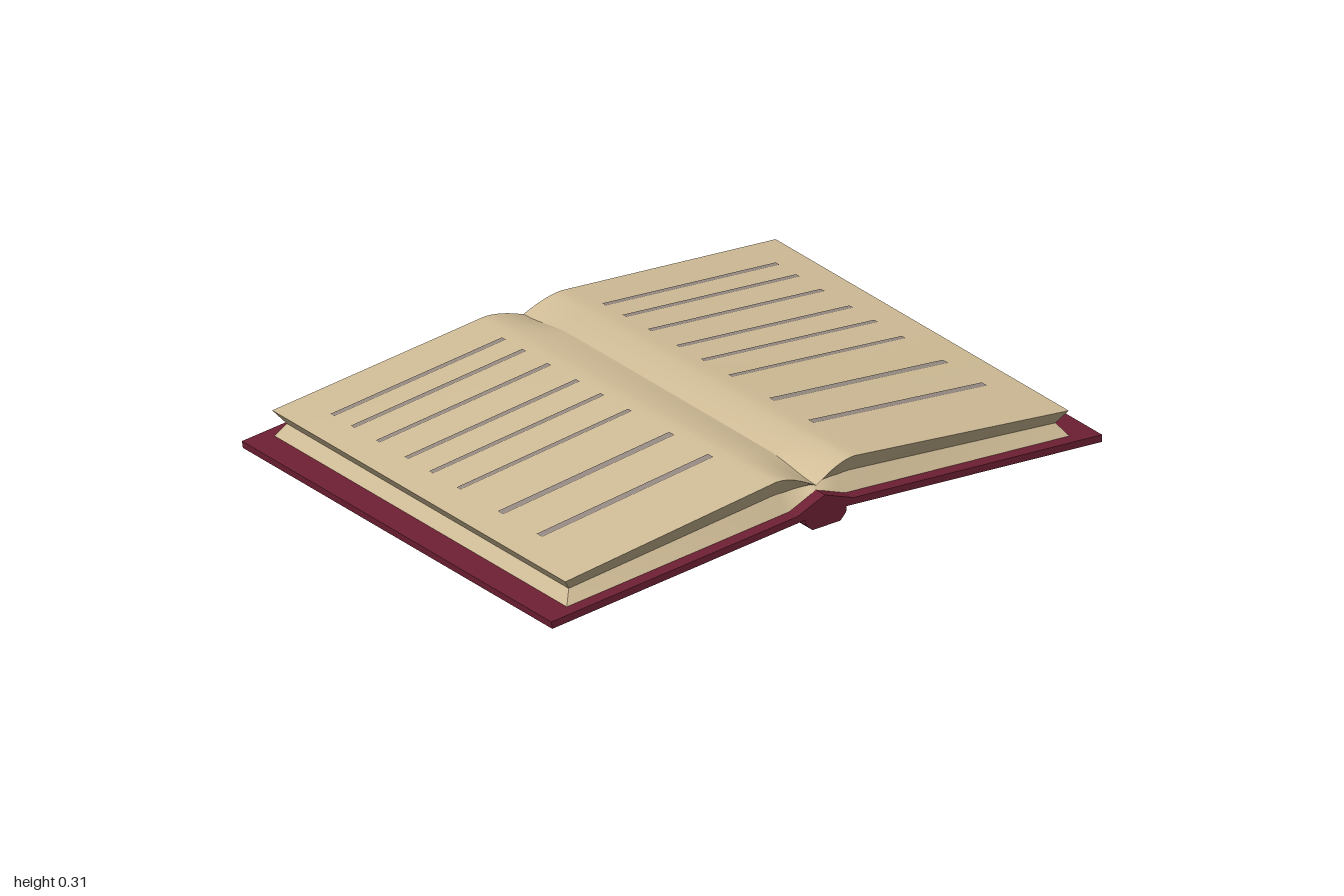
import * as THREE from 'three';
import { mergeGeometries } from 'three/addons/utils/BufferGeometryUtils.js';

const PAGE_X = 0.905, PAGE_Z = 0.772, COVER_X = 0.99, COVER_Z = 0.815;
const lerp = THREE.MathUtils.lerp;

// Stations across a page (gutter to fore-edge) and along it (back to front)
const XS = [0, 0.012, 0.025, 0.04, 0.055, 0.075, 0.1, 0.12, 0.14, 0.17, 0.22, 0.4, 0.65, PAGE_X];
const ZS = [-1, -0.95, -0.9, -0.84, -0.78, -0.7, -0.4, 0, 0.4, 0.7, 0.78, 0.84, 0.9, 0.95, 1].map((t) => t * PAGE_Z);

// Inner surface of the cover
function coverY(x) {
  return x < 0.1 ? lerp(0.21, 0.17, x / 0.1) : lerp(0.17, 0.1, (x - 0.1) / (COVER_X - 0.1));
}

// Upper surface of the pages: rounded next to the gutter, which dips at both ends
function pageY(x, z) {
  const ridge = 0.27 + 0.01 * z / PAGE_Z;
  const dip = THREE.MathUtils.smoothstep(Math.abs(z), 0.52, PAGE_Z);
  const gutter = lerp(0.25, 0.225, dip);
  if (x < 0.14) return lerp(gutter, ridge, Math.sin(x / 0.14 * Math.PI / 2));
  return lerp(ridge, 0.19, (x - 0.14) / (PAGE_X - 0.14));
}

// Smooth surface through rows of points; side = -1 mirrors it in x
function surface(rows, side) {
  const n = rows[0].length, pos = [], index = [];
  rows.forEach((row) => row.forEach(([x, y, z]) => pos.push(x * side, y, z)));
  for (let i = 0; i < rows.length - 1; i++) {
    for (let j = 0; j < n - 1; j++) {
      const a = i * n + j, b = a + n, c = a + 1, d = b + 1;
      if (side > 0) index.push(a, b, c, c, b, d);
      else index.push(a, c, b, c, d, b);
    }
  }
  const g = new THREE.BufferGeometry();
  g.setAttribute('position', new THREE.Float32BufferAttribute(pos, 3));
  g.setIndex(index);
  g.computeVertexNormals();
  return g;
}

// One half of the page block, with edges hollowed halfway down
function pageBlock(side) {
  const top = ([x, z]) => [x, pageY(x, z), z];
  const mid = ([x, z]) => [x * 0.967, (pageY(x, z) + coverY(x)) / 2, z * 0.962];
  const bottom = ([x, z]) => [x, coverY(x) - 0.002, z];
  const edges = [
    XS.map((x) => [x, PAGE_Z]),
    [...ZS].reverse().map((z) => [PAGE_X, z]),
    [...XS].reverse().map((x) => [x, -PAGE_Z]),
  ];
  const parts = [surface(ZS.map((z) => XS.map((x) => top([x, z]))), side)];
  for (const e of edges) {
    parts.push(surface([e.map(top), e.map(mid)], side));
    parts.push(surface([e.map(mid), e.map(bottom)], side));
  }
  return mergeGeometries(parts);
}

// Printed bars lying just above one page
function textBars(side) {
  const centres = [-0.607, -0.5, -0.368, -0.218, -0.088, 0.058, 0.278, 0.483];
  return mergeGeometries(centres.map((z, i) => {
    const h = i > 5 ? 0.014 : 0.01;
    const rows = [z - h, z + h].map((zz) =>
      [0.18, 0.8].map((x) => [x, pageY(x, zz) + 0.003, zz]));
    return surface(rows, side);
  }));
}

// Cover boards and spine as a single profile drawn along z
function coverGeometry() {
  const half = [[0, 0.21], [0.1, 0.17], [COVER_X, 0.1], [COVER_X - 0.002, 0.077],
    [0.075, 0.15], [0.072, 0.132], [0.05, 0.11]];
  const mirrored = half.slice(1).reverse().map(([x, y]) => [-x, y]);
  const shape = new THREE.Shape([...half, ...mirrored].map(([x, y]) => new THREE.Vector2(x, y)));
  const g = new THREE.ExtrudeGeometry(shape, { depth: 2 * COVER_Z, bevelEnabled: false });
  g.translate(0, 0, -COVER_Z);
  return g;
}

export function createModel() {
  const model = new THREE.Group();
  model.name = 'openBook';
  const book = new THREE.Group();
  book.name = 'book';
  model.add(book);

  const add = (name, geometry, color, side = THREE.FrontSide) => {
    const mesh = new THREE.Mesh(geometry, new THREE.MeshStandardMaterial({ color, side }));
    mesh.name = name;
    book.add(mesh);
  };

  add('cover', coverGeometry(), 0x6e2033);
  for (const [label, side] of [['left', 1], ['right', -1]]) {
    add(label + 'Pages', pageBlock(side), 0xd2be98);
    add(label + 'TextBars', textBars(side), 0x978c84, THREE.DoubleSide);
  }

  // The book lies slightly tilted and turned
  book.rotation.set(-0.052, 0.011, 0.027);
  model.updateMatrixWorld(true);
  const box = new THREE.Box3().setFromObject(model, true);
  const centre = box.getCenter(new THREE.Vector3());
  book.position.set(-centre.x, -box.min.y, -centre.z);
  return model;
}
